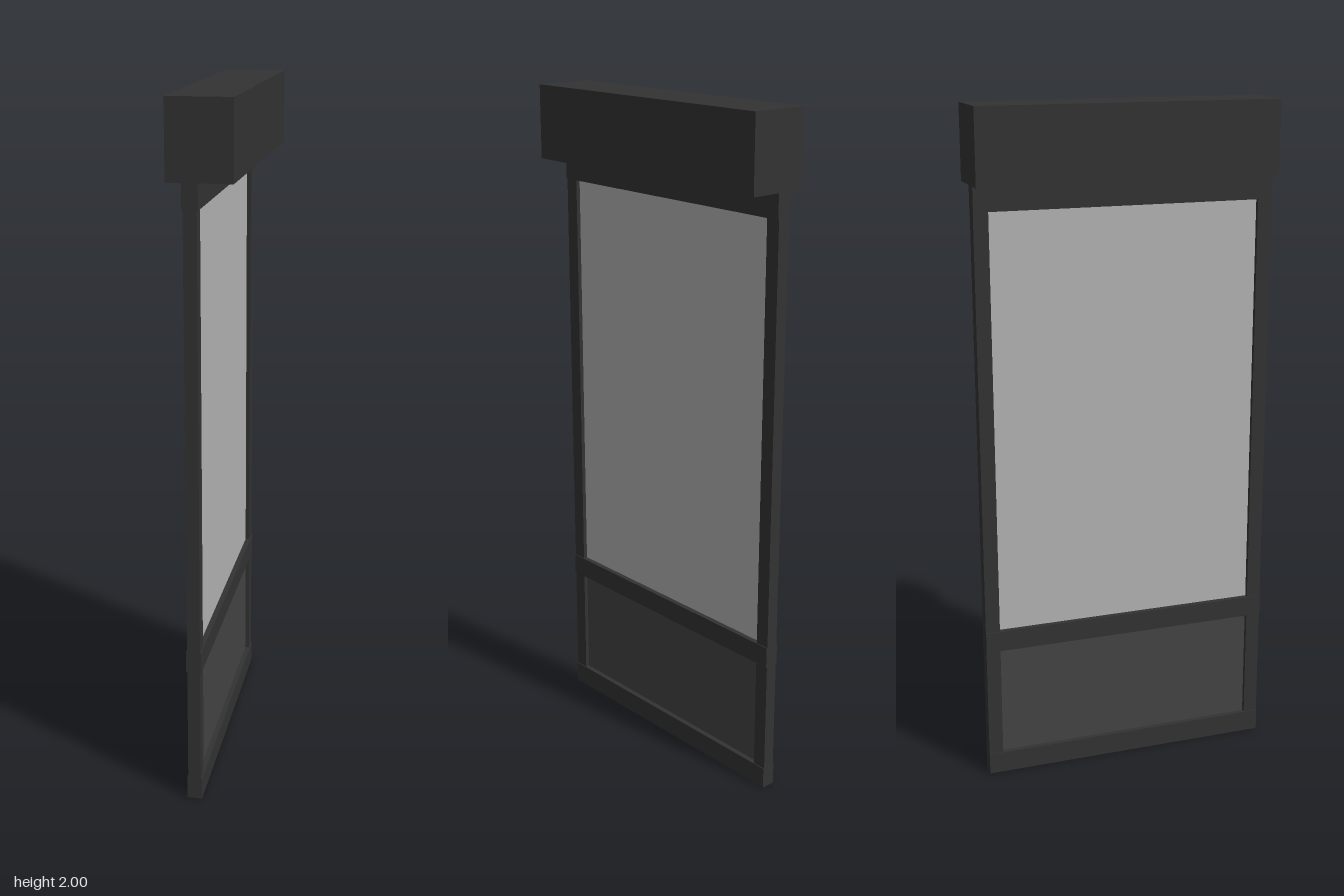
import * as THREE from 'three';

export function createModel() {
  const group = new THREE.Group();
  const frame = new THREE.MeshStandardMaterial({ color: 0x333333 });
  const glass = new THREE.MeshStandardMaterial({ color: 0xb4b4b4 });
  const infill = new THREE.MeshStandardMaterial({ color: 0x444444 });

  const panelX = -0.025; // the leaf hangs off-centre under the housing
  const halfWidth = 0.443;
  const inner = 0.4;

  // Box given by thickness in x and its extents in y and z
  function addBox(name, material, x, thickness, y0, y1, z0, z1) {
    const mesh = new THREE.Mesh(new THREE.BoxGeometry(thickness, y1 - y0, z1 - z0), material);
    mesh.position.set(x, (y0 + y1) / 2, (z0 + z1) / 2);
    mesh.name = name;
    group.add(mesh);
  }

  // Drive housing along the top
  addBox('topHousing', frame, 0, 0.178, 1.785, 2, -halfWidth, halfWidth);

  // Upright stiles, slightly thinner than the rails
  addBox('leftStile', frame, panelX, 0.037, 0, 1.785, inner, halfWidth);
  addBox('rightStile', frame, panelX, 0.037, 0, 1.785, -halfWidth, -inner);

  // Cross rails
  const rails = [['bottomRail', 0, 0.065], ['middleRail', 0.405, 0.468], ['topRail', 1.715, 1.785]];
  for (const [name, y0, y1] of rails) {
    addBox(name, frame, panelX, 0.043, y0, y1, -halfWidth, halfWidth);
  }

  // Recessed window pane and lower infill panel
  addBox('windowPane', glass, panelX, 0.012, 0.468, 1.715, -inner, inner);
  addBox('lowerPanel', infill, panelX, 0.012, 0.065, 0.405, -inner, inner);

  return group;
}
